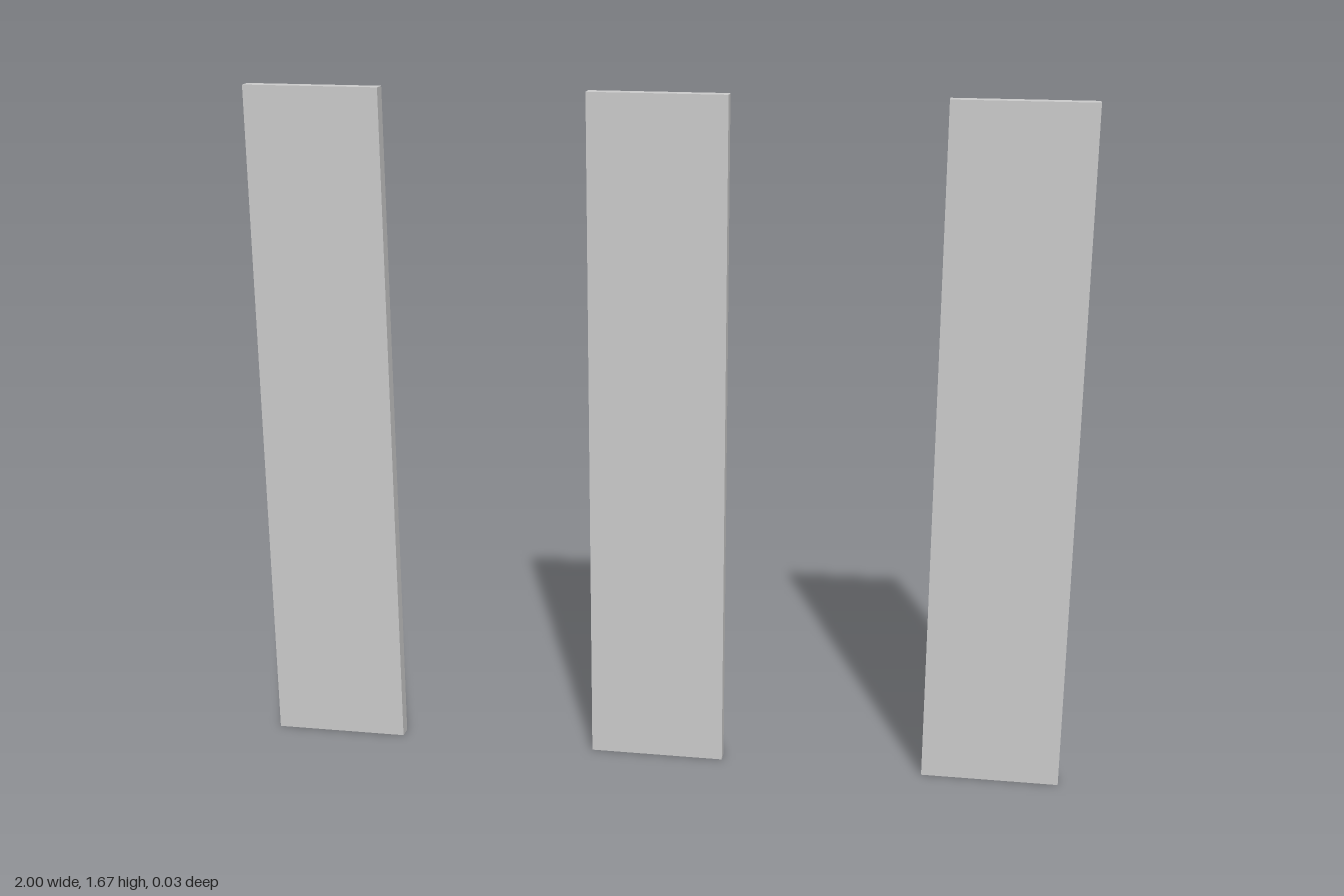
import * as THREE from 'three';

const WIDTH = 1 / 3, HEIGHT = 5 / 3, DEPTH = 1 / 30;

export function createModel() {
  const model = new THREE.Group();
  model.name = 'panels';
  const material = new THREE.MeshStandardMaterial({ color: 0xcccccc });
  const geometry = new THREE.BoxGeometry(WIDTH, HEIGHT, DEPTH);

  // Three identical upright panels, evenly spaced
  ['rightPanel', 'centrePanel', 'leftPanel'].forEach((name, i) => {
    const panel = new THREE.Mesh(geometry, material);
    panel.name = name;
    panel.position.set((i - 1) * (1 - WIDTH / 2), HEIGHT / 2, 0);
    model.add(panel);
  });

  return model;
}
